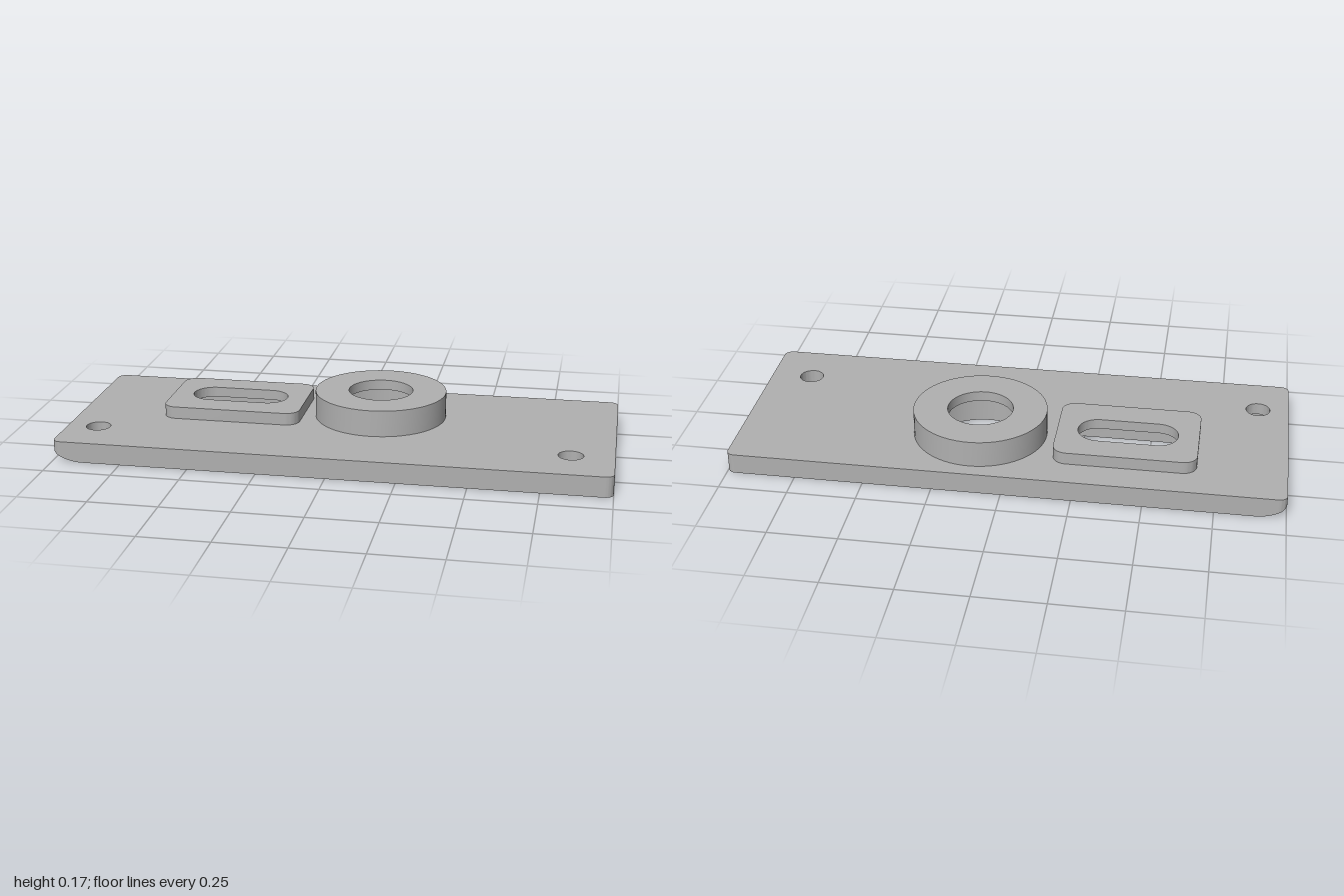
import * as THREE from 'three';
import { mergeGeometries, toCreasedNormals } from 'three/addons/utils/BufferGeometryUtils.js';

const V = (x, z) => new THREE.Vector2(x, z);
const safeRoot = v => Math.sqrt(Math.max(0, v));

// Closed outlines in plan (x, z)
function roundRect(x0, x1, z0, z1, r, n = 10) {
  const pts = [];
  [[x1 - r, z1 - r], [x0 + r, z1 - r], [x0 + r, z0 + r], [x1 - r, z0 + r]].forEach(([cx, cz], q) => {
    for (let i = 0; i <= n; i++) {
      const a = (q + i / n) * Math.PI / 2;
      pts.push(V(cx + r * Math.cos(a), cz + r * Math.sin(a)));
    }
  });
  return pts.filter((p, i) => p.distanceTo(pts[(i + 1) % pts.length]) > 1e-5);
}
const circle = (x, z, r, n = 64) => Array.from({ length: n }, (_, i) => {
  const a = i / n * Math.PI * 2;
  return V(x + r * Math.cos(a), z + r * Math.sin(a));
});

function fromPositions(pos) {
  const g = new THREE.BufferGeometry();
  g.setAttribute('position', new THREE.Float32BufferAttribute(pos, 3));
  return g;
}

// Flat horizontal face with openings
function sheet(outline, holes, y, up) {
  const shape = new THREE.Shape(outline);
  shape.holes = holes.map(h => new THREE.Path(h));
  const g = new THREE.ShapeGeometry(shape).rotateX(Math.PI / 2).translate(0, y, 0).toNonIndexed();
  const p = g.attributes.position, pos = [];
  for (let i = 0; i < p.count; i += 3) {
    for (const k of up ? [0, 2, 1] : [0, 1, 2]) pos.push(p.getX(i + k), p.getY(i + k), p.getZ(i + k));
  }
  return fromPositions(pos);
}

// Vertical wall along an outline; its lower edge may vary with x
function wall(outline, low, high, isHole) {
  const lo = typeof low === 'function' ? low : () => low;
  const pts = outline.slice(), pos = [];
  if ((THREE.ShapeUtils.area(pts) > 0) !== isHole) pts.reverse();
  pts.forEach((a, i) => {
    const b = pts[(i + 1) % pts.length], la = lo(a.x), lb = lo(b.x);
    pos.push(a.x, la, a.y, b.x, lb, b.y, b.x, high, b.y);
    pos.push(a.x, la, a.y, b.x, high, b.y, a.x, high, a.y);
  });
  return fromPositions(pos);
}

export function createModel() {
  const group = new THREE.Group();
  const grey = new THREE.MeshStandardMaterial({ color: 0xb0b0b0 });
  grey.name = 'grey metal';
  const add = (name, parts) => {
    const mesh = new THREE.Mesh(toCreasedNormals(mergeGeometries(parts), 0.55), grey);
    mesh.name = name;
    group.add(mesh);
  };

  // Main dimensions
  const top = 0.075, ringTop = 0.173, padTop = 0.12, roof = 0.038;
  const corner = 0.03, endX = -0.8, curveX = -0.89, curveR = 0.18;
  const holeX = -0.886, holeZ = 0.212, holeR = 0.045, sinkR = 0.083, sinkY = 0.03;

  // Underside height: the -x end curves upwards
  const under = x => x >= curveX ? 0 : curveR - safeRoot(curveR ** 2 - (curveX - x) ** 2);
  const halfZ = x => 0.4 - corner + safeRoot(corner ** 2 - Math.max(0, -1 + corner - x) ** 2);
  const halfSink = x => safeRoot(sinkR ** 2 - (x - holeX) ** 2);

  // Columns across the curved end
  const sinkXs = [];
  for (let i = 0; i <= 24; i++) sinkXs.push(holeX - sinkR * Math.cos(i / 24 * Math.PI));
  const xs = [...sinkXs];
  for (let i = 0; i <= 30; i++) xs.push(-1 + (1 + endX) * (i / 30) ** 2);
  xs.sort((a, b) => a - b);

  // Plan outlines
  const rightSide = roundRect(0, 1, -0.4, 0.4, corner).filter(p => p.x > 0.5).sort((a, b) => a.y - b.y);
  const plan = [
    ...xs.map(x => V(x, -halfZ(x))), ...rightSide,
    ...xs.slice().reverse().map(x => V(x, halfZ(x))),
  ];
  const mainPlan = [V(endX, -0.4), ...rightSide, V(endX, 0.4)];
  const sink = [
    ...sinkXs.map(x => V(x, holeZ - halfSink(x))),
    ...sinkXs.slice(1, -1).reverse().map(x => V(x, holeZ + halfSink(x))),
  ];
  const leftHole = circle(holeX, holeZ, holeR, 40);
  const rightHole = circle(0.845, holeZ, holeR, 40);
  const ringOuter = circle(0.12, -0.1, 0.245);
  const ringBore = circle(0.12, -0.1, 0.21);
  const ringHole = circle(0.12, -0.1, 0.12);
  const padOuter = roundRect(-0.68, -0.165, -0.28, 0.08, 0.05);
  const padPocket = roundRect(-0.645, -0.2, -0.245, 0.045, 0.015, 4);
  const slot = roundRect(-0.605, -0.24, -0.178, -0.028, 0.075, 16);

  // Curved underside, leaving the sunken hole open
  const curved = [];
  for (let i = 0; i < xs.length - 1; i++) {
    const [a, b] = [xs[i], xs[i + 1]], [ya, yb] = [under(a), under(b)];
    for (const s of [-1, 1]) {
      const span = x => [s * halfZ(x), holeZ + s * halfSink(x)].sort((p, q) => p - q);
      const [a0, a1] = span(a), [b0, b1] = span(b);
      curved.push(a, ya, a0, b, yb, b0, b, yb, b1, a, ya, a0, b, yb, b1, a, ya, a1);
    }
  }

  add('basePlate', [
    wall(plan, under, top, false),
    sheet(plan, [ringOuter, padOuter, leftHole, rightHole], top, true),
    sheet(mainPlan, [ringBore, padPocket, rightHole], 0, false),
    fromPositions(curved),
  ]);
  add('plainScrewHole', [wall(rightHole, 0, top, true)]);
  add('sunkenScrewHole', [
    wall(sink, under, sinkY, true),
    sheet(sink, [leftHole], sinkY, false),
    wall(leftHole, sinkY, top, true),
  ]);

  // Raised features, hollowed from below
  const boss = (name, outer, pocket, hole, height) => add(name, [
    wall(outer, top, height, false),
    sheet(outer, [hole], height, true),
    wall(hole, height - roof, height, true),
    sheet(pocket, [hole], height - roof, false),
    wall(pocket, 0, height - roof, true),
  ]);
  boss('roundBoss', ringOuter, ringBore, ringHole, ringTop);
  boss('slottedPad', padOuter, padPocket, slot, padTop);

  return group;
}
